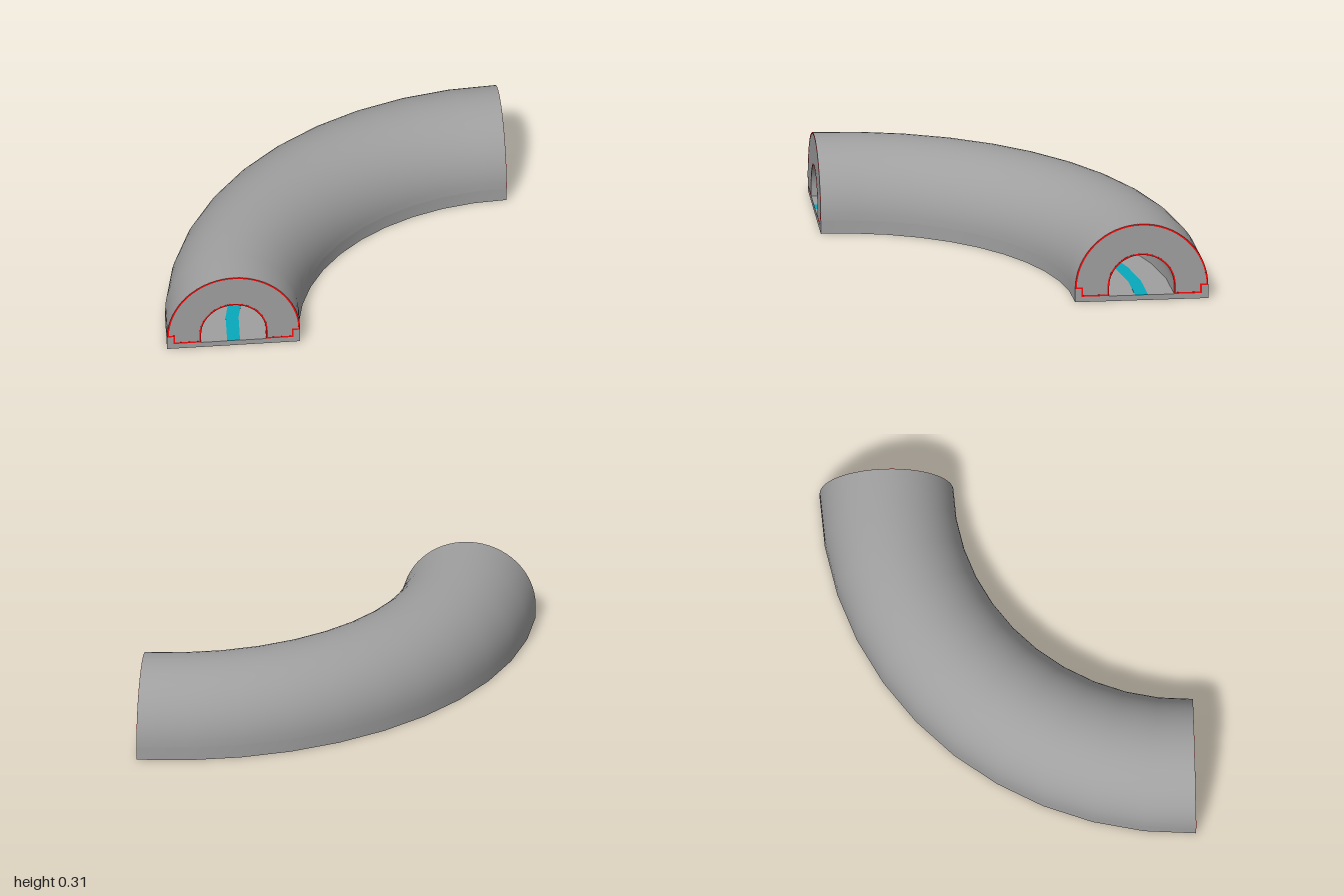
import * as THREE from 'three';
import { toCreasedNormals } from 'three/addons/utils/BufferGeometryUtils.js';

const R = 1.156;        // centre-line radius of the bend
const ZC = 1.023;       // bend centre on z
const HALF = 0.258;     // half width of the section
const BORE = 0.126;     // half width of the arched opening
const FLOOR = 0.021;    // floor height
const RIM = 0.053;      // rim height, also the springing line of the outer arch
const SPRING = 0.058;   // springing line of the opening
const LIP = 0.025;      // rim thickness

// Extrude a section and bend it around the quarter turn; t runs 0..1 from end to end
function sweep(shape, t0, t1, steps) {
  const geo = new THREE.ExtrudeGeometry(shape, { depth: t1 - t0, steps, bevelEnabled: false });
  const p = geo.attributes.position;
  for (let i = 0; i < p.count; i++) {
    const r = R + p.getX(i);
    const a = (t0 + p.getZ(i) - 0.5) * Math.PI / 2;
    p.setXYZ(i, r * Math.sin(a), p.getY(i), ZC - r * Math.cos(a));
  }
  geo.deleteAttribute('uv');
  return toCreasedNormals(geo, Math.PI / 6);
}

// Arched roof section, shrunk inwards by d
function roofOutline(d) {
  const pts = [];
  const arc = (r, cy, from, to, n) => {
    for (let i = 0; i <= n; i++) {
      const a = from + (to - from) * i / n;
      pts.push(new THREE.Vector2(r * Math.cos(a), cy + r * Math.sin(a)));
    }
  };
  const foot = HALF - LIP - d;
  pts.push(new THREE.Vector2(foot, FLOOR + d), new THREE.Vector2(foot, RIM + d));
  const lift = Math.asin(d / (HALF - d));
  arc(HALF - d, RIM, lift, Math.PI - lift, 32);
  pts.push(new THREE.Vector2(-foot, RIM + d), new THREE.Vector2(-foot, FLOOR + d));
  pts.push(new THREE.Vector2(-BORE - d, FLOOR + d));
  arc(BORE + d, SPRING, Math.PI, 0, 24);
  pts.push(new THREE.Vector2(BORE + d, FLOOR + d));
  return pts;
}

export function createModel() {
  const group = new THREE.Group();
  const grey = new THREE.MeshStandardMaterial({ color: 0x9f9f9f });
  const red = new THREE.MeshStandardMaterial({ color: 0xff0808 });
  const teal = new THREE.MeshStandardMaterial({ color: 0x08a8bc });
  const add = (name, geo, mat) => {
    const mesh = new THREE.Mesh(geo, mat);
    mesh.name = name;
    group.add(mesh);
  };

  // Base tray with a raised rim on both sides
  const w = HALF, i = HALF - LIP;
  const tray = new THREE.Shape([
    [-w, 0], [w, 0], [w, RIM], [i, RIM], [i, FLOOR], [-i, FLOOR], [-i, RIM], [-w, RIM],
  ].map(([x, y]) => new THREE.Vector2(x, y)));
  add('baseTray', sweep(tray, 0, 1, 11), grey);

  // Arched tunnel roof seated in the tray
  add('tunnelRoof', sweep(new THREE.Shape(roofOutline(0)), 0, 1, 11), grey);

  // Stripe along the middle of the floor
  const s = 0.025, top = FLOOR + 0.0006;
  const stripe = new THREE.Shape([
    [-s, FLOOR - 0.001], [s, FLOOR - 0.001], [s, top], [-s, top],
  ].map(([x, y]) => new THREE.Vector2(x, y)));
  add('floorStripe', sweep(stripe, 0, 1, 11), teal);

  // Thin red edging of the roof section on each end face
  const edging = new THREE.Shape(roofOutline(0.0003));
  edging.holes.push(new THREE.Path(roofOutline(0.0065)));
  add('rightEndEdging', sweep(edging, -0.0003, 0.0003, 1), red);
  add('leftEndEdging', sweep(edging, 0.9997, 1.0003, 1), red);

  return group;
}
